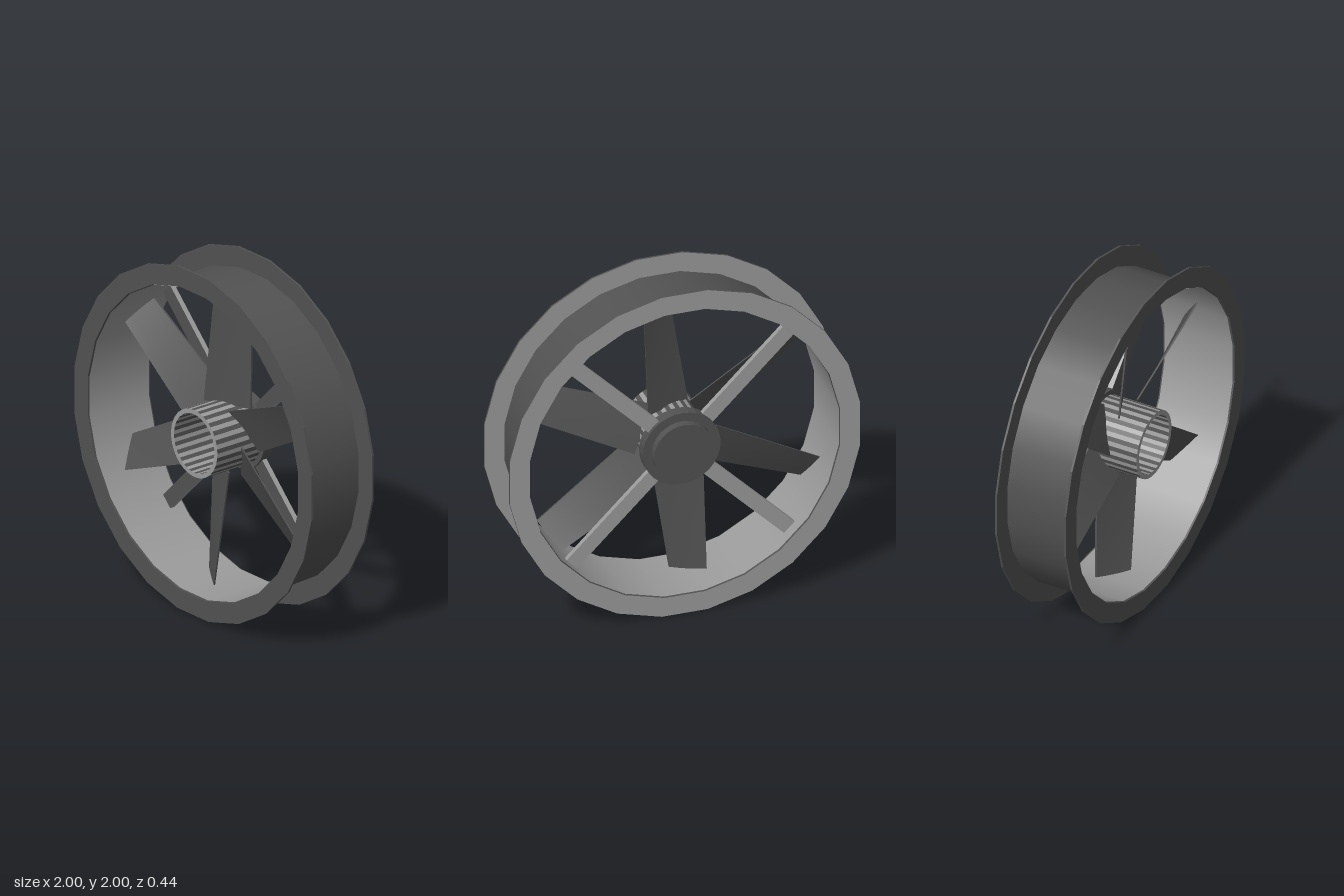
import * as THREE from 'three';

const SIDES = 24;
const HALF_STEP = Math.PI / SIDES;
const R_OUT = 1 / Math.cos(HALF_STEP);
const R_IN = 0.885 / Math.cos(HALF_STEP);

const paint = (color, flatShading) =>
  new THREE.MeshStandardMaterial({ color, flatShading, side: THREE.DoubleSide });
const dark = paint(0x525252, true);
const light = paint(0x9b9b9b, true);
const smoothDark = paint(0x525252, false);
const smoothLight = paint(0x9b9b9b, false);

function add(parent, name, geometry, material = dark) {
  const mesh = new THREE.Mesh(geometry, material);
  mesh.name = name;
  parent.add(mesh);
  return mesh;
}

// Corners of the 24-sided outline, with flats at top, bottom and sides
function ringPoints(radius) {
  return Array.from({ length: SIDES }, (_, i) => {
    const a = (2 * i + 1) * HALF_STEP;
    return new THREE.Vector2(radius * Math.cos(a), radius * Math.sin(a));
  });
}

// Thin ring; material 0 on the front and rims, 1 on the back
function flangeGeometry() {
  const shape = new THREE.Shape(ringPoints(R_OUT));
  shape.holes.push(new THREE.Path(ringPoints(R_IN)));
  const geo = new THREE.ExtrudeGeometry(shape, { depth: 0.012, bevelEnabled: false });
  const backCount = geo.groups[0].count / 2;
  geo.clearGroups();
  geo.addGroup(0, backCount, 1);
  geo.addGroup(backCount, geo.attributes.position.count - backCount, 0);
  return geo;
}

// Profile of [radius, z] pairs turned about the z axis; it faces outward when z rises
function turned(profile, segments, start = 0) {
  const points = profile.map(([r, z]) => new THREE.Vector2(r, z));
  return new THREE.LatheGeometry(points, segments, start).rotateX(Math.PI / 2);
}

// Open tube with alternating dark and light staves and a light front rim
function hubGeometry() {
  const segments = 48;
  const geo = turned([[0.17, -0.1], [0.195, -0.1], [0.195, 0.21], [0.17, 0.21], [0.17, -0.1]], segments);
  for (let i = 0; i < segments; i++) {
    geo.addGroup(i * 24, 12, i % 2);
    geo.addGroup(i * 24 + 12, 6, 1);
    geo.addGroup(i * 24 + 18, 6, i % 2);
  }
  return geo;
}

// Cylinder along z between two depths
function discGeometry(radius, z0, z1) {
  return new THREE.CylinderGeometry(radius, radius, z1 - z0, 32)
    .rotateX(Math.PI / 2).translate(0, 0, (z0 + z1) / 2);
}

// Thin twisted, tapering plate pointing up, its tip following the duct
function bladeGeometry() {
  const geo = new THREE.BoxGeometry(1, 1, 0.01, 4, 6, 1);
  const pos = geo.attributes.position;
  const { lerp } = THREE.MathUtils;
  for (let i = 0; i < pos.count; i++) {
    const u = pos.getX(i) + 0.5;
    const v = pos.getY(i) + 0.5;
    const x = lerp(lerp(-0.105, 0.157, u), lerp(0.003, 0.18, u), v);
    const y = lerp(0.18, Math.sqrt(0.867 ** 2 - x * x), v);
    const z = lerp(lerp(0.05, -0.06, u), lerp(0.065, -0.05, u), v);
    pos.setXYZ(i, x, y, z + pos.getZ(i));
  }
  geo.computeVertexNormals();
  return geo;
}

export function createModel() {
  const model = new THREE.Group();
  model.name = 'ductFan';
  const fan = new THREE.Group();
  fan.name = 'fan';
  fan.position.y = 1;
  model.add(fan);

  // Duct wall, dark outside and light inside, with its two end flanges
  const rIn = R_IN - 0.004;
  add(fan, 'ductOutside', turned([[R_IN, -0.21], [R_IN, 0.21]], SIDES, HALF_STEP), smoothDark);
  add(fan, 'ductInside', turned([[rIn, 0.21], [rIn, -0.21]], SIDES, HALF_STEP), smoothLight);
  const flange = flangeGeometry();
  add(fan, 'frontFlange', flange, [dark, light]).position.z = 0.207;
  add(fan, 'backFlange', flange, [dark, light]).position.z = -0.219;

  // Hub, with the motor plate and cap behind it
  add(fan, 'hub', hubGeometry(), [dark, light]);
  add(fan, 'motorPlate', discGeometry(0.222, -0.165, -0.1));
  add(fan, 'motorCap', discGeometry(0.172, -0.21, -0.165));

  // Six blades
  const blade = bladeGeometry();
  for (let i = 0; i < 6; i++) {
    add(fan, 'blade', blade, smoothDark).rotation.z = i * Math.PI / 3;
  }

  // Four flat struts carrying the motor, dark only on the front
  const strut = new THREE.BoxGeometry(0.69, 0.085, 0.03).translate(0.533, 0, -0.13);
  const strutFaces = [light, light, light, light, dark, light];
  for (let i = 0; i < 4; i++) {
    add(fan, 'strut', strut, strutFaces).rotation.z = Math.PI / 4 + i * Math.PI / 2;
  }

  return model;
}
